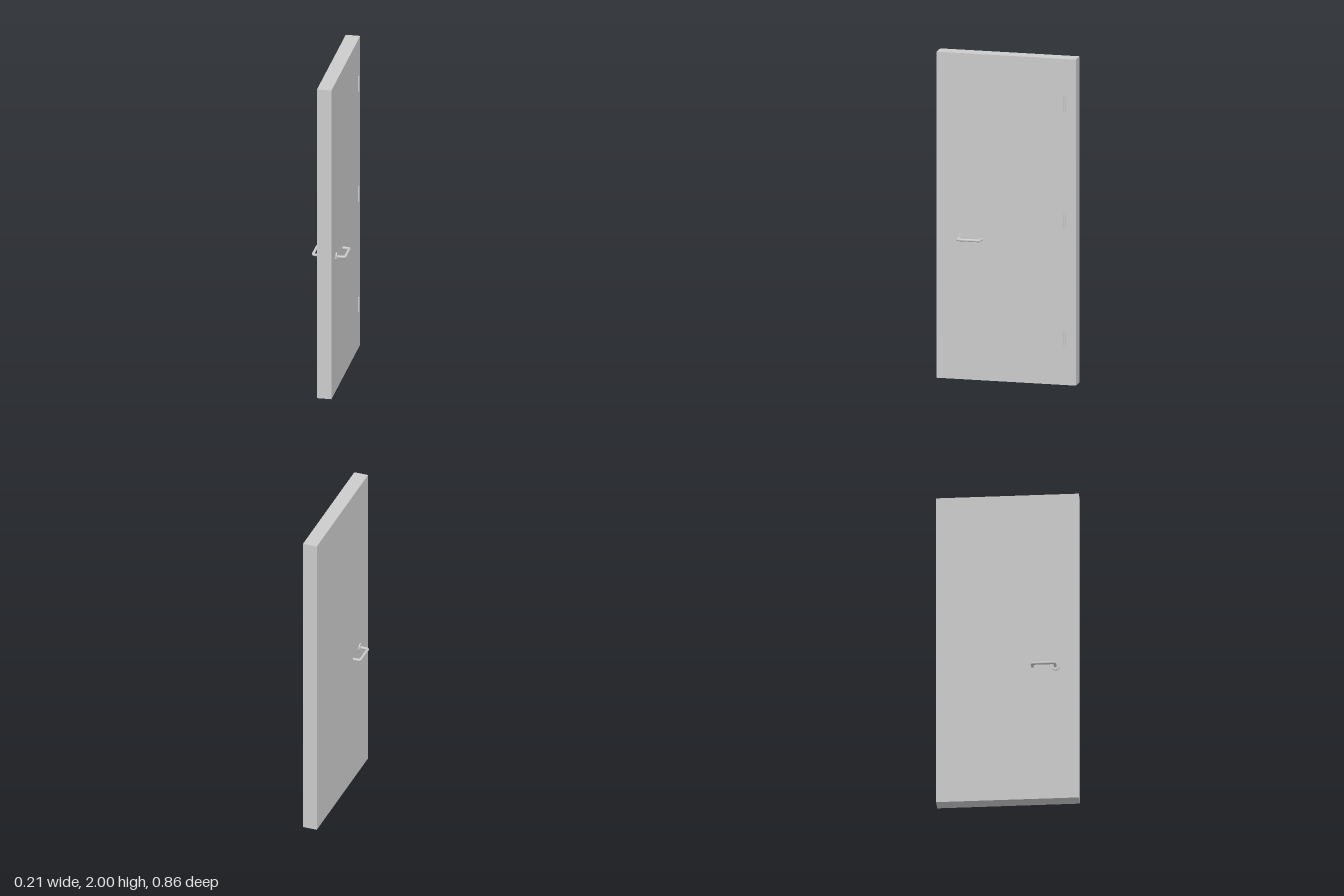
import * as THREE from 'three';

const material = new THREE.MeshStandardMaterial({ color: 0xcccccc });
const HALF_T = 0.044; // half the door thickness
const LEVER_R = 0.0085;

function addMesh(parent, name, geometry, x = 0, y = 0, z = 0) {
  const mesh = new THREE.Mesh(geometry, material);
  mesh.name = name;
  mesh.position.set(x, y, z);
  parent.add(mesh);
  return mesh;
}

// Lever path: out of the door, along it, then back towards it, with rounded corners
function leverPath() {
  const v = (x, z) => new THREE.Vector3(x, 0, z);
  const out = 0.098, z0 = 0.287, z1 = 0.151, r = 0.013;
  const path = new THREE.CurvePath();
  path.add(new THREE.LineCurve3(v(HALF_T, z0), v(out - r, z0)));
  path.add(new THREE.QuadraticBezierCurve3(v(out - r, z0), v(out, z0), v(out, z0 - r)));
  path.add(new THREE.LineCurve3(v(out, z0 - r), v(out, z1 + r)));
  path.add(new THREE.QuadraticBezierCurve3(v(out, z1 + r), v(out, z1), v(out - r, z1)));
  path.add(new THREE.LineCurve3(v(out - r, z1), v(0.056, z1)));
  return path;
}

function createHandle(name) {
  const handle = new THREE.Group();
  handle.name = name;
  const rosette = new THREE.CylinderGeometry(0.026, 0.026, 0.008, 32).rotateZ(-Math.PI / 2);
  addMesh(handle, 'rosette', rosette, HALF_T + 0.004, 0, 0.289);
  addMesh(handle, 'lever', new THREE.TubeGeometry(leverPath(), 96, LEVER_R, 16));
  // Flat cap on the free end
  const cap = new THREE.CircleGeometry(LEVER_R, 16).rotateY(-Math.PI / 2);
  addMesh(handle, 'leverCap', cap, 0.056, 0, 0.151);
  return handle;
}

export function createModel() {
  const door = new THREE.Group();
  door.name = 'door';

  addMesh(door, 'doorLeaf', new THREE.BoxGeometry(HALF_T * 2, 2, 0.855), 0, 1, 0);

  // Hinge barrels on one face
  for (const y of [0.288, 1.003, 1.718]) {
    addMesh(door, 'hinge', new THREE.CylinderGeometry(0.0055, 0.0055, 0.094, 16), 0.047, y, -0.359);
  }

  // One handle on each face
  for (const side of [1, -1]) {
    const handle = createHandle(side > 0 ? 'leftHandle' : 'rightHandle');
    handle.position.y = 0.867;
    if (side < 0) handle.rotation.z = Math.PI;
    door.add(handle);
  }
  return door;
}
